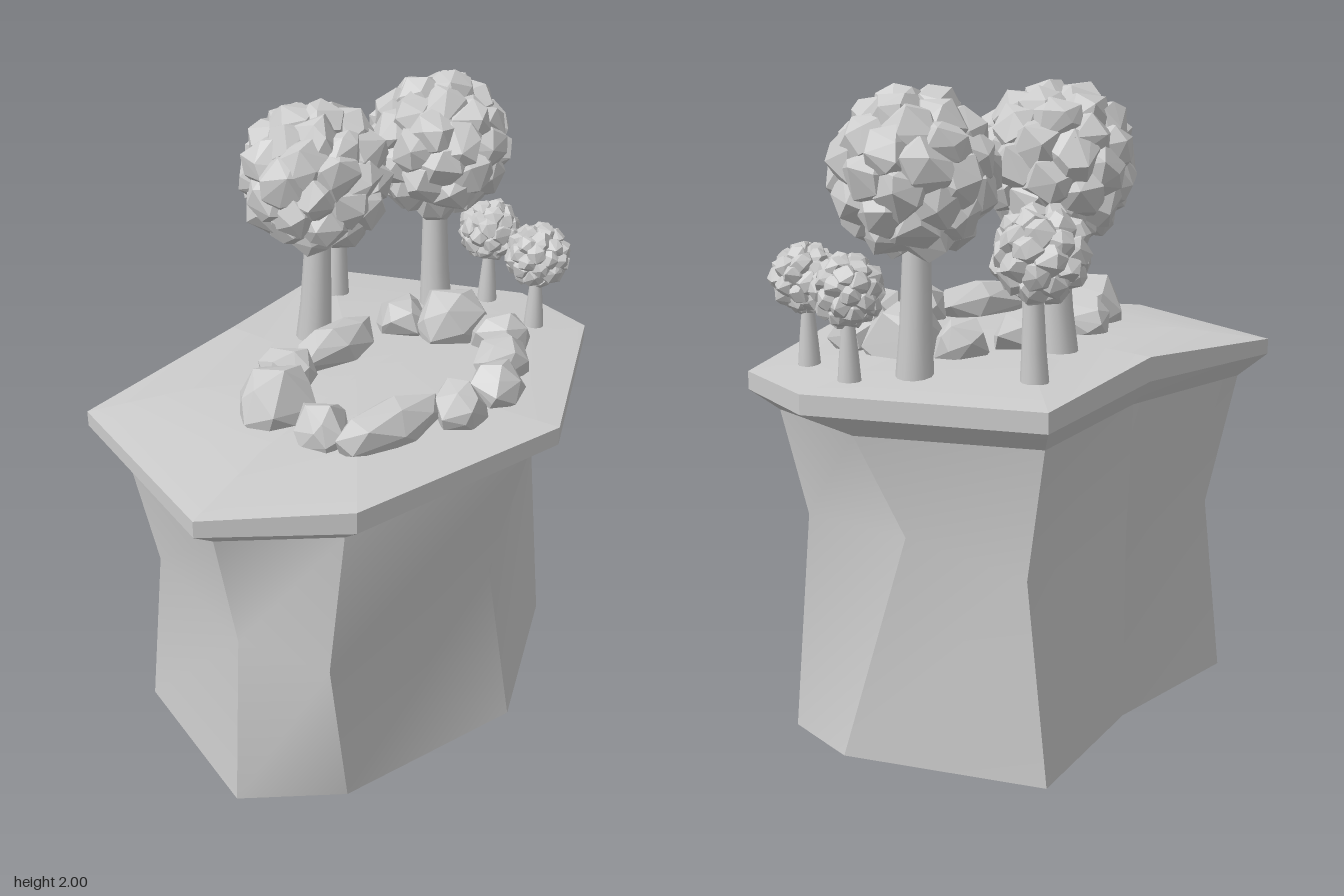
import * as THREE from 'three';
import { mergeGeometries } from 'three/addons/utils/BufferGeometryUtils.js';
import { ConvexGeometry } from 'three/addons/geometries/ConvexGeometry.js';

const faceted = new THREE.MeshStandardMaterial({ color: 0xcccccc, flatShading: true });
const smooth = new THREE.MeshStandardMaterial({ color: 0xcccccc, side: THREE.DoubleSide });

// Small seeded generator
let seed = 7;
function rand() {
  seed = (seed * 16807) % 2147483647;
  return seed / 2147483647;
}

function addMesh(parent, name, geometry, material) {
  const mesh = new THREE.Mesh(geometry, material);
  mesh.name = name;
  parent.add(mesh);
  return mesh;
}

// Joins rings of [x, y, z] corners, listed bottom to top. Each upright panel
// is smooth along its height and sharp against its neighbours.
function loft(...rings) {
  const panels = [];
  const n = rings[0].length;
  for (let i = 0; i < n; i++) {
    const pos = [], index = [];
    rings.forEach((ring, k) => {
      pos.push(...ring[i], ...ring[(i + 1) % n]);
      const a = 2 * k;
      if (k < rings.length - 1) index.push(a, a + 1, a + 3, a, a + 3, a + 2);
    });
    const g = new THREE.BufferGeometry();
    g.setAttribute('position', new THREE.Float32BufferAttribute(pos, 3));
    g.setIndex(index);
    g.computeVertexNormals();
    panels.push(g);
  }
  return mergeGeometries(panels);
}

// Faceted boulder: hull of jittered points on an ellipsoid
function rockGeometry(rx, ry, rz, count) {
  const points = [];
  for (let i = 0; i < count; i++) {
    const h = 1 - (2 * (i + 0.5)) / count;
    const a = i * 2.4 + rand() * 0.9;
    const r = Math.sqrt(1 - h * h);
    const s = 0.96 + rand() * 0.16;
    points.push(new THREE.Vector3(r * Math.cos(a) * rx * s, h * ry * s, r * Math.sin(a) * rz * s));
  }
  return new ConvexGeometry(points);
}

// Leaf crown: angular clumps spread evenly over a ball
function crownGeometry(radius, count) {
  const clumps = [];
  for (let i = 0; i < count; i++) {
    const h = 1 - (2 * (i + 0.5)) / count;
    const a = i * 2.39996;
    const r = Math.sqrt(1 - h * h);
    const size = radius * (0.32 + rand() * 0.04);
    const g = rockGeometry(size, size, size, 18);
    g.rotateX(rand() * 6).rotateY(rand() * 6);
    const d = radius * (0.63 + rand() * 0.03);
    g.translate(r * Math.cos(a) * d, h * d, r * Math.sin(a) * d);
    clumps.push(g);
  }
  return mergeGeometries(clumps);
}

function makeTree(name, t) {
  const tree = new THREE.Group();
  tree.name = name;
  // Trunk tapers upward and flares at the foot; lean shifts the foot sideways
  const profile = [[t.foot, 0], [t.foot * 0.85, 0.25], [t.neck * 1.05, 0.65], [t.neck, 1]];
  const bottom = 1.17, height = t.y - bottom;
  const trunk = new THREE.LatheGeometry(
    profile.map(([r, f]) => new THREE.Vector2(r, f * height)), 12);
  const p = trunk.attributes.position;
  for (let i = 0; i < p.count; i++) {
    const f = p.getY(i) / height;
    p.setX(i, p.getX(i) + t.lean * (1 - f) ** 2);
  }
  addMesh(tree, 'trunk', trunk, smooth).position.set(t.x, bottom, t.z);
  addMesh(tree, 'leafCrown', crownGeometry(t.r, t.clumps), faceted).position.set(t.crownX ?? t.x, t.y, t.z);
  return tree;
}

export function createModel() {
  seed = 7;
  const model = new THREE.Group();
  model.name = 'rockyIsland';

  // Eight-cornered plateau: x, z, upper rim height, lower rim height
  const rim = [
    [-0.68, 0.51, 1.14, 1.09], [-0.06, 0.88, 1.14, 1.085],
    [0.34, 0.66, 1.16, 1.09], [0.675, -0.03, 1.165, 1.105],
    [0.5, -0.73, 1.155, 1.1], [0.21, -0.88, 1.15, 1.09],
    [-0.5, -0.74, 1.15, 1.09], [-0.53, -0.12, 1.185, 1.11],
  ];
  const neck = [
    [-0.6, 1.02, 0.45], [-0.055, 1.02, 0.79], [0.27, 1.02, 0.6], [0.58, 1.035, -0.03],
    [0.44, 1.03, -0.66], [0.1, 1.02, -0.78], [-0.45, 1.02, -0.66], [-0.47, 1.03, -0.11],
  ];
  const waist = [
    [-0.51, 0.58, 0.42], [-0.05, 0.59, 0.69], [0.265, 0.59, 0.69], [0.47, 0.57, -0.03],
    [0.375, 0.7, -0.62], [-0.02, 0.71, -0.7], [-0.385, 0.62, -0.64], [-0.45, 0.6, -0.1],
  ];
  const foot = [
    [-0.57, 0, 0.43], [-0.045, 0, 0.75], [0.26, 0, 0.57], [0.565, 0, -0.03],
    [0.43, 0, -0.64], [0.18, 0, -0.75], [-0.455, 0, -0.65], [-0.45, 0, -0.1],
  ];
  const rimLow = rim.map(([x, z, , low]) => [x, low, z]);
  const rimHigh = rim.map(([x, z, high]) => [x, high, z]);
  const crest = rim.map(([x, z]) => [x * 0.62, 1.19, z * 0.62]);

  // Hollow column, open underneath
  addMesh(model, 'stoneColumn', loft(foot, waist, neck), smooth);
  addMesh(model, 'plateauUnderside', loft(neck, rimLow), smooth);
  addMesh(model, 'plateauEdge', loft(rimLow, rimHigh), smooth);
  addMesh(model, 'plateauTop', loft(rimHigh, crest, rim.map(() => [0, 1.193, 0])), smooth);

  // Ring of boulders: x, z, half sizes x / y / z, turn about y
  const rocks = [
    [0.32, -0.4, 0.095, 0.085, 0.085, 0.3], [0.385, -0.255, 0.095, 0.085, 0.09, 0.8],
    [0.44, -0.09, 0.09, 0.085, 0.1, 0], [0.39, 0.09, 0.09, 0.085, 0.09, 1.2],
    [0.25, 0.28, 0.09, 0.08, 0.2, 2.72], [0.085, 0.385, 0.09, 0.085, 0.095, 0.5],
    [-0.115, 0.31, 0.115, 0.13, 0.135, 0], [-0.18, 0.12, 0.095, 0.085, 0.085, 0],
    [-0.13, -0.1, 0.085, 0.08, 0.2, -0.18], [0.14, -0.42, 0.125, 0.13, 0.125, 0.4],
    [-0.02, -0.37, 0.095, 0.08, 0.09, 0.9],
  ];
  const ring = new THREE.Group();
  ring.name = 'boulderRing';
  rocks.forEach(([x, z, rx, ry, rz, turn]) => {
    const rock = addMesh(ring, 'boulder', rockGeometry(rx, ry, rz, 20), faceted);
    rock.position.set(x, 1.22, z);
    rock.rotation.y = turn;
  });
  model.add(ring);

  // Trees of three sizes
  model.add(
    makeTree('tallTreeFront', { x: -0.232, crownX: -0.245, y: 1.755, z: -0.185, r: 0.253, foot: 0.06, neck: 0.04, lean: -0.025, clumps: 48 }),
    makeTree('tallTreeBack', { x: -0.025, crownX: -0.018, y: 1.755, z: -0.62, r: 0.253, foot: 0.056, neck: 0.038, lean: 0.015, clumps: 48 }),
    makeTree('mediumTree', { x: -0.345, crownX: -0.37, y: 1.54, z: -0.53, r: 0.149, foot: 0.042, neck: 0.028, lean: -0.005, clumps: 40 }),
    makeTree('smallTreeLeft', { x: 0.352, y: 1.43, z: -0.625, r: 0.113, foot: 0.034, neck: 0.018, lean: 0, clumps: 40 }),
    makeTree('smallTreeBack', { x: 0.13, y: 1.43, z: -0.745, r: 0.113, foot: 0.034, neck: 0.018, lean: 0, clumps: 40 }),
  );
  return model;
}
